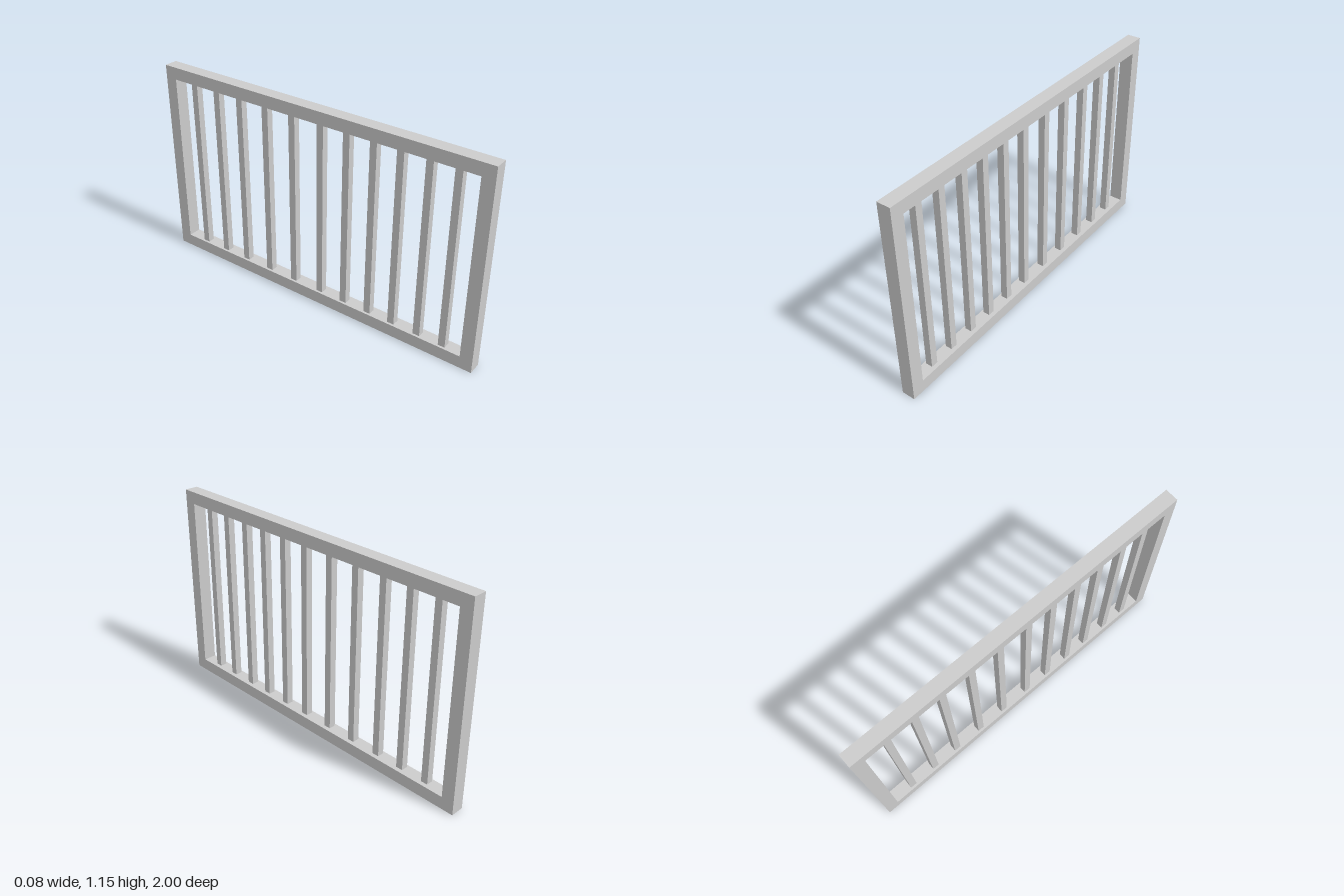
import * as THREE from 'three';

const HEIGHT = 1.155, LENGTH = 2, DEPTH = 0.076, RAIL = 0.07, BAR = 0.039;

export function createModel() {
  const group = new THREE.Group();
  const material = new THREE.MeshStandardMaterial({ color: 0xcccccc, flatShading: true });

  // Rectangular frame with one opening, extruded across x
  const outline = (l, y0, y1, path) => path
    .moveTo(-l / 2, y0).lineTo(l / 2, y0).lineTo(l / 2, y1).lineTo(-l / 2, y1).closePath();
  const shape = new THREE.Shape();
  outline(LENGTH, 0, HEIGHT, shape);
  const opening = new THREE.Path();
  outline(LENGTH - 2 * RAIL, RAIL, HEIGHT - RAIL, opening);
  shape.holes.push(opening);
  const frameGeometry = new THREE.ExtrudeGeometry(shape, { depth: DEPTH, bevelEnabled: false });
  frameGeometry.translate(0, 0, -DEPTH / 2).rotateY(Math.PI / 2);
  const frame = new THREE.Mesh(frameGeometry, material);
  frame.name = 'frame';
  group.add(frame);

  // Square upright bars, unevenly spaced and set slightly toward one face
  const barGeometry = new THREE.BoxGeometry(BAR, HEIGHT - 2 * RAIL, BAR);
  const barZ = [0.818, 0.67, 0.515, 0.365, 0.209, 0.05, -0.129, -0.305, -0.481, -0.642, -0.803];
  barZ.forEach((z, i) => {
    const bar = new THREE.Mesh(barGeometry, material);
    bar.name = `bar${i + 1}`;
    bar.position.set(-0.005, HEIGHT / 2, z);
    group.add(bar);
  });

  return group;
}
